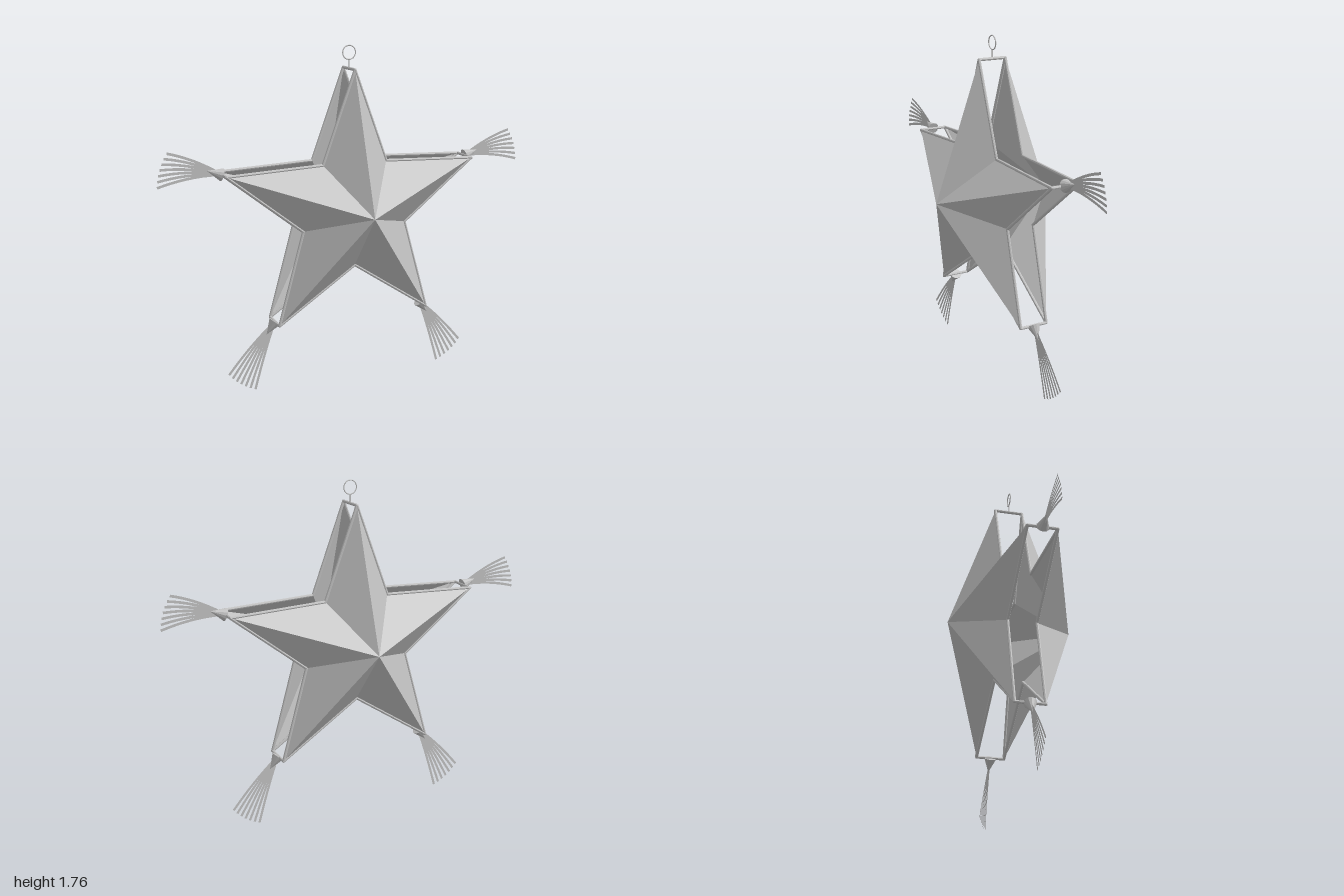
import * as THREE from 'three';

const CENTER_Y = 0.94, OUTER = 0.71, INNER = 0.297;
const RIM_Z = 0.075, APEX_Z = 0.325, ROD = 0.008;

const grey = new THREE.MeshStandardMaterial({ color: 0xc2c2c2, side: THREE.DoubleSide, flatShading: true });
grey.name = 'lantern grey';

function add(parent, name, geometry) {
  const mesh = new THREE.Mesh(geometry, grey);
  mesh.name = name;
  parent.add(mesh);
  return mesh;
}

// Corner k of the ten-cornered outline; even corners are tips, starting at the top
function corner(k, z) {
  const a = Math.PI / 2 + k * Math.PI / 5;
  const r = k % 2 ? INNER : OUTER;
  return new THREE.Vector3(Math.cos(a) * r, CENTER_Y + Math.sin(a) * r, z);
}

// Round rod between two points
function rod(parent, name, a, b, radius = ROD) {
  const mesh = add(parent, name, new THREE.CylinderGeometry(radius, radius, a.distanceTo(b), 8));
  mesh.position.copy(a).lerp(b, 0.5);
  mesh.quaternion.setFromUnitVectors(new THREE.Vector3(0, 1, 0), b.clone().sub(a).normalize());
  return mesh;
}

// Faceted star sheet rising from the rim to its apex
function starSheet(side) {
  const apex = new THREE.Vector3(0, CENTER_Y, side * APEX_Z);
  const points = [];
  for (let k = 0; k < 10; k++) {
    const a = corner(k, side * RIM_Z), b = corner(k + 1, side * RIM_Z);
    points.push(apex, ...(side > 0 ? [a, b] : [b, a]));
  }
  const g = new THREE.BufferGeometry().setFromPoints(points);
  g.computeVertexNormals();
  return g;
}

// Flat drooping ribbon, starting at the tip and running along the given angle
function ribbon(tip, angle) {
  const length = 0.323, droop = 0.055, half = 0.0065, steps = 8;
  const dx = Math.cos(angle), dy = Math.sin(angle);
  const left = [], right = [];
  for (let i = 0; i <= steps; i++) {
    const t = 0.08 + 0.92 * i / steps;
    const x = tip.x + dx * length * t;
    const y = tip.y + dy * length * t - droop * t * t;
    const tx = dx * length, ty = dy * length - 2 * droop * t;
    const s = half / Math.hypot(tx, ty);
    left.push(new THREE.Vector2(x - ty * s, y + tx * s));
    right.unshift(new THREE.Vector2(x + ty * s, y - tx * s));
  }
  return new THREE.ShapeGeometry(new THREE.Shape([...right, ...left]));
}

export function createModel() {
  const model = new THREE.Group();
  model.name = 'starLantern';

  // Front and back star sheets
  add(model, 'frontStar', starSheet(1));
  add(model, 'backStar', starSheet(-1));

  // Rim rods with rounded joints, and spacers across the five tips
  const frame = new THREE.Group();
  frame.name = 'frame';
  model.add(frame);
  for (let k = 0; k < 10; k++) {
    for (const z of [RIM_Z, -RIM_Z]) {
      rod(frame, 'rimRod', corner(k, z), corner(k + 1, z));
      add(frame, 'rimJoint', new THREE.SphereGeometry(ROD, 8, 6)).position.copy(corner(k, z));
    }
    if (k % 2 === 0) rod(frame, 'tipSpacer', corner(k, -RIM_Z), corner(k, RIM_Z));
  }

  // Cone and ribbon tassel on every tip but the top one
  for (let k = 2; k < 10; k += 2) {
    const tassel = new THREE.Group();
    tassel.name = 'tassel';
    model.add(tassel);
    const tip = corner(k, 0);
    const angle = Math.PI / 2 + k * Math.PI / 5;
    const cone = add(tassel, 'tasselCone', new THREE.ConeGeometry(0.033, 0.08, 12));
    cone.position.set(tip.x + Math.cos(angle) * 0.04, tip.y + Math.sin(angle) * 0.04, 0);
    cone.rotation.z = angle - Math.PI / 2;
    for (let i = -3; i <= 3; i++) add(tassel, 'tasselRibbon', ribbon(tip, angle + i * 0.09));
  }

  // Hanging stem and ring
  rod(model, 'hangerStem', new THREE.Vector3(0, 1.65, 0), new THREE.Vector3(0, 1.697, 0), 0.003);
  add(model, 'hangerRing', new THREE.TorusGeometry(0.035, 0.003, 6, 28)).position.y = 1.73;

  return model;
}
